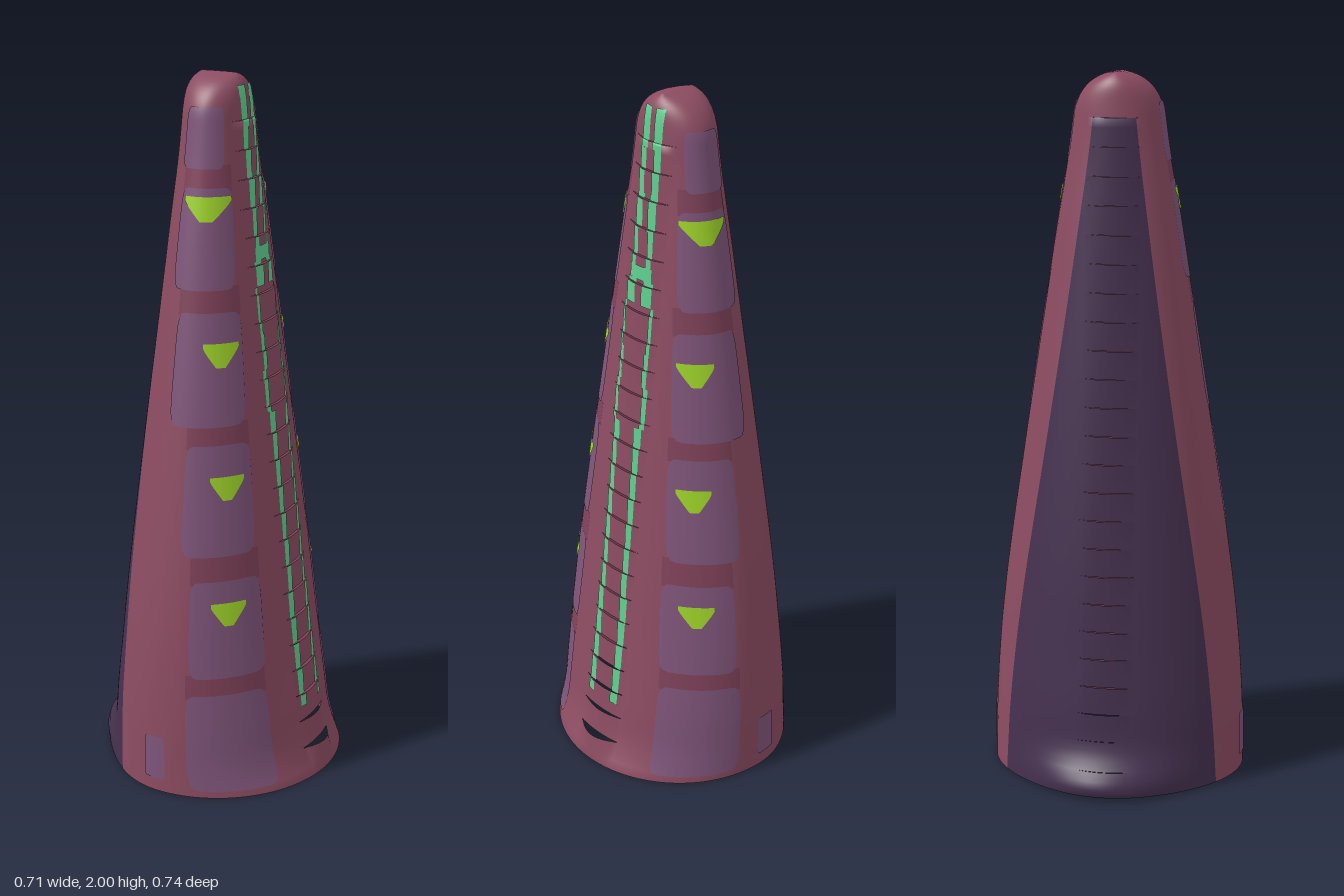
import * as THREE from 'three';
import { mergeGeometries } from 'three/addons/utils/BufferGeometryUtils.js';

const CAP = 1.88, BANDS = 24, PITCH = CAP / BANDS, DEG = Math.PI / 180;
const lerp = THREE.MathUtils.lerp;

// Half-sizes by height: left reach, right reach, depth
const heights = [0, 0.05, 0.1, 0.2, 0.4, 0.6, 1.0, 1.4, 1.6, 1.8, 2.0];
const sizes = [
  0.355, 0.295, 0.367, 0.33, 0.293, 0.366, 0.312, 0.291, 0.365, 0.295, 0.287, 0.362,
  0.265, 0.265, 0.348, 0.24, 0.245, 0.325, 0.19, 0.2, 0.265, 0.14, 0.153, 0.202,
  0.115, 0.13, 0.17, 0.09, 0.107, 0.136, 0.073, 0.092, 0.11,
];
const profile = new THREE.CubicInterpolant(heights, sizes, 3, new Float32Array(3));

function section(y) {
  const [left, right, depth] = profile.evaluate(THREE.MathUtils.clamp(y, 0, 2));
  const s = Math.max(0, (y - CAP) / (2 - CAP));
  const shrink = 1 - 0.35 * s ** 6;
  return { left: left * shrink, right: right * shrink, depth: depth * Math.sqrt(Math.max(0, 1 - s ** 2.5)) };
}

// Point of the skin; each band keeps its width near z = 0, which leaves small steps
function skin(u, y, bandStart) {
  const c = Math.cos(u), z = section(y).depth * Math.sin(u);
  const step = y > CAP ? 0 : Math.max(0, 1 - (z / 0.075) ** 2);
  const r = section(lerp(y, bandStart + 0.3 * (y - bandStart), step));
  const toe = Math.max(0, -c) ** 6;
  const flare = 0.065 * Math.exp(-(((y - 0.025) / 0.075) ** 2)) * toe;
  const lift = 0.015 * Math.max(0, 1 - y / 0.1) * toe;
  return new THREE.Vector3((c > 0 ? r.left : r.right) * c - flare, y + lift, z);
}

function skinNormal(u, y, bandStart) {
  const e = 0.002, v = Math.min(y, 1.997);
  const du = skin(u + e, v, bandStart).sub(skin(u - e, v, bandStart));
  const dy = skin(u, v + e, bandStart).sub(skin(u, v - e, bandStart));
  return dy.cross(du).normalize();
}

// Grid laid on the skin; at(s, t) gives [angle, height]
function patch(cols, rows, at, offset = 0, bandStart = null) {
  const pos = [], nor = [], idx = [];
  for (let j = 0; j <= rows; j++) {
    for (let i = 0; i <= cols; i++) {
      const [u, y] = at(i / cols, j / rows);
      const start = bandStart ?? y;
      const n = skinNormal(u, y, start);
      pos.push(...skin(u, y, start).addScaledVector(n, offset).toArray());
      nor.push(...n.toArray());
      if (i < cols && j < rows) {
        const a = j * (cols + 1) + i, b = a + cols + 1;
        idx.push(a, b, a + 1, a + 1, b, b + 1);
      }
    }
  }
  const g = new THREE.BufferGeometry();
  g.setAttribute('position', new THREE.Float32BufferAttribute(pos, 3));
  g.setAttribute('normal', new THREE.Float32BufferAttribute(nor, 3));
  g.setIndex(idx);
  return g;
}

// Angle where the rose skin meets the dark side
const seam = (y) => Math.acos(-lerp(0.55, 0.88, y / CAP));

export function createModel() {
  const group = new THREE.Group();
  group.name = 'taperedSpire';
  const material = (name, color) => {
    const m = new THREE.MeshStandardMaterial({ color, side: THREE.DoubleSide });
    m.name = name;
    return m;
  };
  const rose = material('rose', 0x8c4c62);
  const deepRose = material('deep rose', 0x80425a);
  const darkPurple = material('dark purple', 0x463150);
  const mauve = material('mauve', 0x7f557a);
  const lime = material('lime', 0xa0d62a);
  const mint = material('mint', 0x60d090);
  const add = (name, geometries, mat) => {
    const mesh = new THREE.Mesh(mergeGeometries(geometries), mat);
    mesh.name = name;
    group.add(mesh);
  };

  // Skin in stacked bands, with a rounded cap
  const roseBands = [], darkBands = [];
  for (let b = 0; b < BANDS; b++) {
    const y0 = b * PITCH;
    roseBands.push(patch(120, 3, (s, t) => {
      const y = y0 + t * PITCH;
      return [lerp(-seam(y), seam(y), s), y];
    }, 0, y0));
    darkBands.push(patch(60, 3, (s, t) => {
      const y = y0 + t * PITCH;
      return [lerp(seam(y), 2 * Math.PI - seam(y), s), y];
    }, 0, y0));
  }
  add('roseSkin', roseBands, rose);
  add('darkSide', darkBands, darkPurple);
  add('roundedCap', [patch(96, 14, (s, t) =>
    [s * 2 * Math.PI, CAP + (2 - CAP) * Math.sin(t * Math.PI / 2)])], rose);

  // Panels: bottom, top, angles from and to in degrees
  const panels = [
    [0.02, 0.31, 31, 76], [0.36, 0.64, 30, 74], [0.71, 1.02, 32, 81],
    [1.07, 1.38, 34, 98], [1.44, 1.71, 38, 108], [1.76, 1.92, 48, 112],
    [0.04, 0.17, 88, 101],
  ];
  // Triangles: middle height, angles from and to in degrees
  const triangles = [[0.545, 40, 61], [0.9, 38, 62], [1.265, 38, 70], [1.655, 40, 102]];
  const panelParts = [], jointParts = [], triangleParts = [];
  for (const side of [1, -1]) {
    const turn = (mid, half, s) => (side * mid + half * (2 * s - 1)) * DEG;
    for (const [y0, y1, a, b] of panels) {
      panelParts.push(patch(14, 14, (s, t) => {
        const k = -Math.cos(t * Math.PI);
        const half = (b - a) / 2 * lerp(0.75, 1, (1 - Math.abs(k) ** 7) ** 0.4);
        return [turn((a + b) / 2, half, s), lerp(y0, y1, (k + 1) / 2)];
      }, 0.003));
    }
    // Darker joints between neighbouring panels
    for (let i = 0; i < 5; i++) {
      const [, y0, a, b] = panels[i], y1 = panels[i + 1][0];
      jointParts.push(patch(14, 2, (s, t) =>
        [turn((a + b) / 2, (b - a) / 2, s), lerp(y0 - 0.01, y1 + 0.01, t)], 0.0015));
    }
    for (const [y, a, b] of triangles) {
      triangleParts.push(patch(10, 6, (s, t) =>
        [turn((a + b) / 2, (b - a) / 2 * lerp(0.25, 1, Math.min(1, t * 1.25)), s), y + (t - 0.5) * 0.066], 0.006));
    }
  }
  add('panels', panelParts, mauve);
  add('panelJoints', jointParts, deepRose);
  add('triangleMarks', triangleParts, lime);

  // Paired stripe: bottom, top, inner and outer distance from the middle
  const stripes = [
    [0.2, 0.55, 0.035, 0.06], [0.55, 1.02, 0.032, 0.053], [1.02, 1.08, 0.028, 0.055],
    [1.08, 1.2, 0.046, 0.062], [1.2, 1.3, 0.04, 0.055], [1.3, 1.43, 0.045, 0.056],
    [1.43, 1.5, 0.012, 0.047], [1.5, 1.54, 0, 0.04], [1.54, 1.64, 0.018, 0.036],
    [1.64, 1.74, 0.01, 0.037], [1.74, 1.86, 0.014, 0.037], [1.86, 1.97, 0.008, 0.036],
  ];
  const stripeParts = [];
  for (const [y0, y1, inner, outer] of stripes) {
    for (let b = Math.floor(y0 / PITCH); b * PITCH < y1; b++) {
      const lo = Math.max(y0, b * PITCH), hi = Math.min(y1, (b + 1) * PITCH);
      if (hi - lo < 1e-4) continue;
      for (const side of [1, -1]) {
        const [from, to] = side > 0 ? [inner, outer] : [-outer, -inner];
        stripeParts.push(patch(3, 3, (s, t) => {
          const y = lerp(lo, hi, t);
          return [Math.asin(lerp(from, to, s) / section(y).depth), y];
        }, 0.003, b * PITCH));
      }
    }
  }
  add('pairedStripe', stripeParts, mint);
  return group;
}
